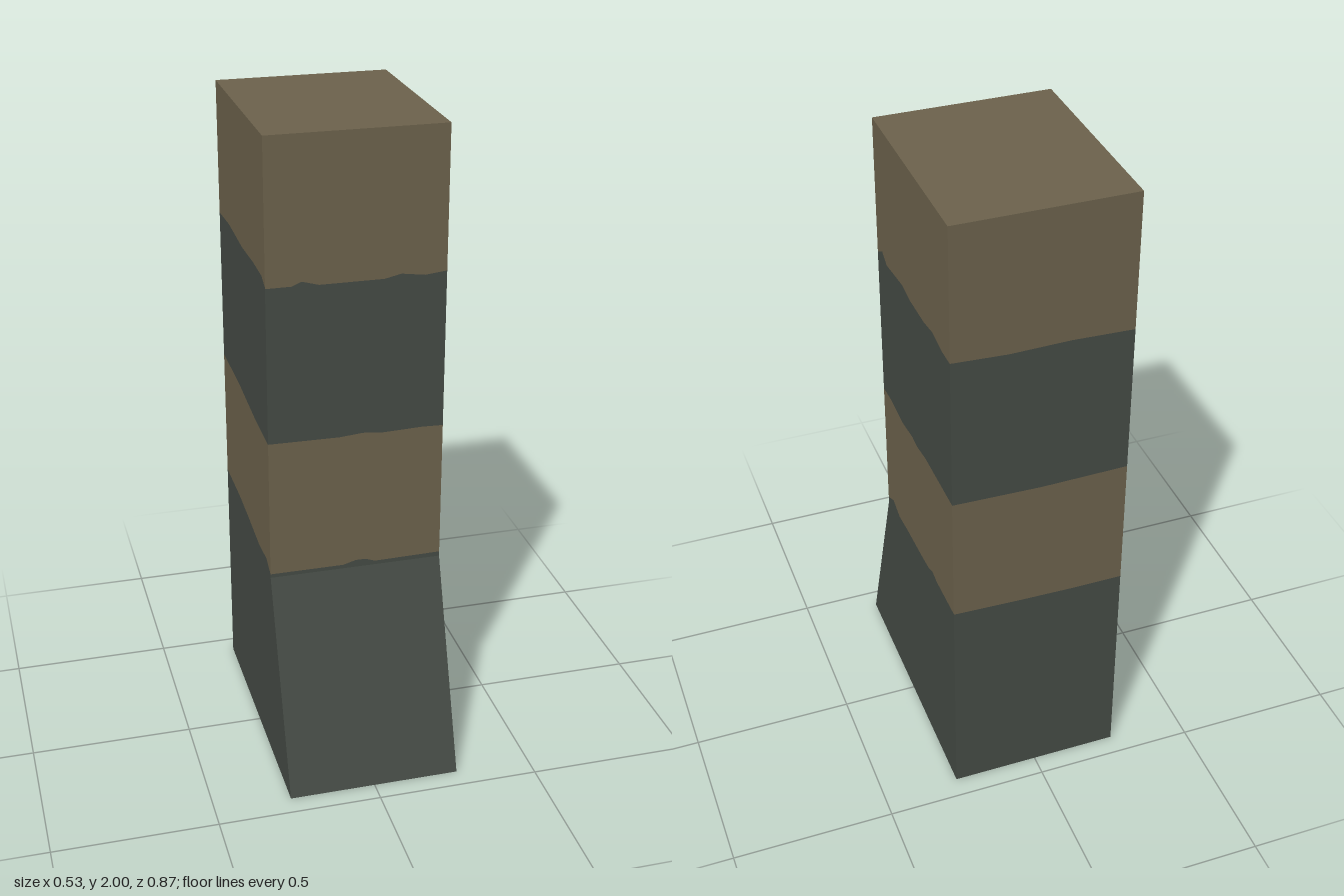
import * as THREE from 'three';

const W = 0.265, BACK = 0.435, FRONT = 0.205, TOE = 0.435, KNEE = 0.645, TOP = 2;

export function createModel() {
  const group = new THREE.Group();
  const tan = new THREE.MeshStandardMaterial({ color: 0x6b614b });
  tan.name = 'sandstone';
  const dark = new THREE.MeshStandardMaterial({ color: 0x444a44 });
  dark.name = 'slate';

  const add = (name, geo, mat) => {
    const mesh = new THREE.Mesh(geo, mat);
    mesh.name = name;
    group.add(mesh);
  };

  // One wall split into four strata along three ragged lines of [u, y] points
  const wall = (name, base, lines, angle, offset) => {
    const u0 = lines[0][0][0], u1 = lines[0].at(-1)[0];
    const edges = [base, ...lines, [[u0, TOP], [u1, TOP]]];
    for (let i = 0; i < 4; i++) {
      const outline = [...edges[i], ...[...edges[i + 1]].reverse()];
      const geo = new THREE.ShapeGeometry(new THREE.Shape(outline.map(p => new THREE.Vector2(...p))));
      geo.translate(0, 0, offset).rotateY(angle);
      add(`${name}Band${i + 1}`, geo, i % 2 ? tan : dark);
    }
  };

  // Front wall above the sloped foot
  wall('front', [[-W, KNEE], [W, KNEE]], [
    [[-W, 0.657], [-0.04, 0.657], [0, 0.668], [0.03, 0.668], [0.06, 0.657], [W, 0.66]],
    [[-W, 1.088], [-0.05, 1.086], [0.02, 1.092], [0.08, 1.086], [0.2, 1.09], [W, 1.088]],
    [[-W, 1.566], [-0.19, 1.566], [-0.16, 1.578], [-0.11, 1.564], [0.08, 1.564], [0.13, 1.575], [0.2, 1.565], [W, 1.572]],
  ], 0, FRONT);

  // Left wall (+x), u runs from front to back
  wall('left', [[-FRONT, KNEE], [-TOE, 0], [BACK, 0]], [
    [[-FRONT, 0.664], [-0.15, 0.69], [-0.09, 0.67], [0, 0.68], [0.13, 0.688], [0.2, 0.695], [0.24, 0.71], [0.28, 0.702], [BACK, 0.707]],
    [[-FRONT, 1.09], [-0.13, 1.097], [-0.02, 1.088], [0.08, 1.102], [0.12, 1.097], [0.2, 1.11], [BACK, 1.115]],
    [[-FRONT, 1.575], [-0.16, 1.6], [-0.12, 1.576], [0.03, 1.595], [0.1, 1.585], [0.22, 1.588], [0.29, 1.6], [0.37, 1.588], [BACK, 1.59]],
  ], Math.PI / 2, W);

  // Right wall (-x), u runs from back to front
  wall('right', [[-BACK, 0], [TOE, 0], [FRONT, KNEE]], [
    [[-BACK, 0.7], [-0.24, 0.7], [-0.1, 0.69], [0.05, 0.675], [0.15, 0.682], [FRONT, 0.657]],
    [[-BACK, 1.113], [-0.2, 1.11], [-0.08, 1.1], [0.05, 1.09], [FRONT, 1.088]],
    [[-BACK, 1.588], [-0.29, 1.596], [-0.1, 1.586], [0.05, 1.592], [0.16, 1.59], [FRONT, 1.57]],
  ], -Math.PI / 2, W);

  // Back wall
  wall('back', [[-W, 0], [W, 0]], [
    [[-W, 0.705], [-0.05, 0.698], [0.1, 0.695], [W, 0.695]],
    [[-W, 1.114], [0, 1.108], [W, 1.113]],
    [[-W, 1.59], [-0.1, 1.582], [0.08, 1.586], [W, 1.58]],
  ], Math.PI, BACK);

  // Sloped foot, roof and underside
  const run = TOE - FRONT;
  add('slopedFoot', new THREE.PlaneGeometry(2 * W, Math.hypot(run, KNEE))
    .rotateX(-Math.atan2(run, KNEE)).translate(0, KNEE / 2, (TOE + FRONT) / 2), dark);
  add('top', new THREE.PlaneGeometry(2 * W, FRONT + BACK)
    .rotateX(-Math.PI / 2).translate(0, TOP, (FRONT - BACK) / 2), tan);
  add('underside', new THREE.PlaneGeometry(2 * W, TOE + BACK)
    .rotateX(Math.PI / 2).translate(0, 0, (TOE - BACK) / 2), dark);

  return group;
}
